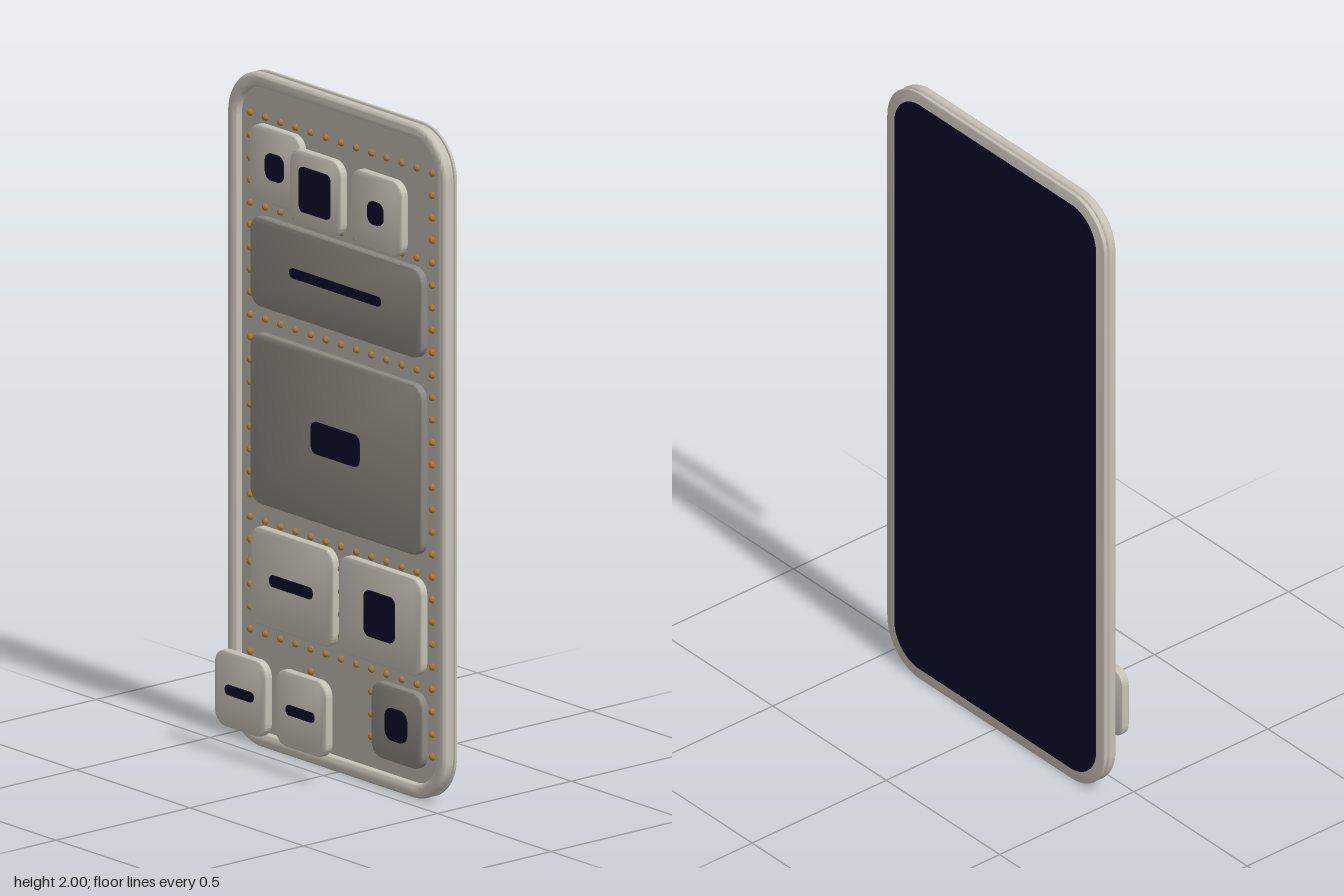
import * as THREE from 'three';
import { mergeGeometries, toCreasedNormals } from 'three/addons/utils/BufferGeometryUtils.js';

const mat = (name, color) => {
  const m = new THREE.MeshStandardMaterial({ color });
  m.name = name;
  return m;
};

// Rounded rectangle outline centred on (x, y)
function outline(path, x, y, w, h, r) {
  const a = x - w / 2, b = x + w / 2, c = y - h / 2, d = y + h / 2;
  path.moveTo(a + r, c);
  path.lineTo(b - r, c);
  path.absarc(b - r, c + r, r, -Math.PI / 2, 0);
  path.lineTo(b, d - r);
  path.absarc(b - r, d - r, r, 0, Math.PI / 2);
  path.lineTo(a + r, d);
  path.absarc(a + r, d - r, r, Math.PI / 2, Math.PI);
  path.lineTo(a, c + r);
  path.absarc(a + r, c + r, r, Math.PI, Math.PI * 1.5);
  return path;
}

// Rounded plate from z0 to z1, with softened edges of size bevel
function plate(name, material, x, y, w, h, r, z0, z1, bevel = 0, hole = null) {
  const shape = outline(new THREE.Shape(), x, y, w, h, r);
  if (hole) shape.holes.push(outline(new THREE.Path(), x, y, ...hole));
  const geo = new THREE.ExtrudeGeometry(shape, {
    depth: z1 - z0 - 2 * bevel, curveSegments: 10, bevelEnabled: bevel > 0,
    bevelThickness: bevel, bevelSize: bevel, bevelOffset: -bevel, bevelSegments: 4,
  });
  geo.translate(0, 0, z0 + bevel);
  const mesh = new THREE.Mesh(toCreasedNormals(geo, 0.6), material);
  mesh.name = name;
  return mesh;
}

export function createModel() {
  const model = new THREE.Group();
  model.name = 'modularPhone';
  const shell = mat('warm grey shell', 0xc6c2b6);
  const floor = mat('frame grey', 0xb8b4a8);
  const dark = mat('dark grey module', 0x8c897f);
  const navy = mat('navy glass', 0x0c0c28);
  const gold = mat('gold contact', 0xa67c38);

  // Frame: rounded rim, recessed floor, side groove and back plate
  model.add(
    plate('rim', shell, 0, 1, 0.96, 2, 0.145, -0.076, -0.045, 0.012, [0.875, 1.915, 0.105]),
    plate('frameFloor', floor, 0, 1, 0.9, 1.94, 0.115, -0.077, -0.067),
    plate('sideGroove', shell, 0, 1, 0.945, 1.985, 0.138, -0.086, -0.074),
    plate('backPlate', shell, 0, 1, 0.96, 2, 0.145, -0.092, -0.083, 0.003),
    plate('screen', navy, 0, 1, 0.885, 1.925, 0.108, -0.0955, -0.09),
  );

  // Modules: name, colour, centre, size, back z, icon size and icon corner radius
  const seat = -0.072, near = 0.005, far = 0.059;
  const modules = [
    ['topRightModule', shell, -0.267, 1.735, 0.226, 0.226, seat, 0.08, 0.08, 0.025],
    ['topMiddleModule', shell, 0, 1.735, 0.226, 0.226, near, 0.138, 0.134, 0.02],
    ['topLeftModule', shell, 0.267, 1.735, 0.226, 0.226, near, 0.069, 0.069, 0.026],
    ['upperWideModule', dark, 0, 1.441, 0.756, 0.267, seat, 0.4, 0.029, 0.014],
    ['largeModule', dark, 0, 0.975, 0.756, 0.506, seat, 0.212, 0.096, 0.024],
    ['lowerRightModule', shell, -0.194, 0.507, 0.366, 0.292, seat, 0.187, 0.035, 0.014],
    ['lowerLeftModule', shell, 0.194, 0.507, 0.366, 0.292, seat, 0.135, 0.137, 0.024],
    ['bottomRightModule', shell, -0.267, 0.2, 0.226, 0.226, far, 0.124, 0.03, 0.014],
    ['bottomMiddleModule', shell, 0, 0.2, 0.226, 0.226, far, 0.124, 0.03, 0.014],
    ['bottomLeftModule', dark, 0.267, 0.2, 0.226, 0.226, seat, 0.096, 0.096, 0.03],
  ];
  for (const [name, material, x, y, w, h, z, iw, ih, ir] of modules) {
    const group = new THREE.Group();
    group.name = name;
    group.add(
      plate('moduleBody', material, x, y, w, h, 0.045, z, z + 0.027, 0.006),
      plate('moduleIcon', navy, x, y, iw, ih, ir, z + 0.026, z + 0.031),
    );
    model.add(group);
  }

  // Contact studs along the channels between modules, on a 1/15 grid
  const studs = [];
  const rows = [5, 10, 19, 24, 28];
  for (let j = 2; j <= 28; j++) {
    for (let i = -6; i <= 6; i++) {
      const edge = Math.abs(i) === 6;
      const split = Math.abs(i) === 2 && (j <= 5 || j >= 24);
      const middle = i === 0 && j >= 5 && j <= 10;
      if (!(edge || split || middle || rows.includes(j))) continue;
      const stud = new THREE.SphereGeometry(0.011, 10, 5, 0, Math.PI * 2, 0, Math.PI / 2);
      stud.rotateX(Math.PI / 2);
      stud.translate(i / 15, j / 15, -0.067);
      studs.push(stud);
    }
  }
  const contacts = new THREE.Mesh(mergeGeometries(studs), gold);
  contacts.name = 'contactStuds';
  model.add(contacts);

  return model;
}
